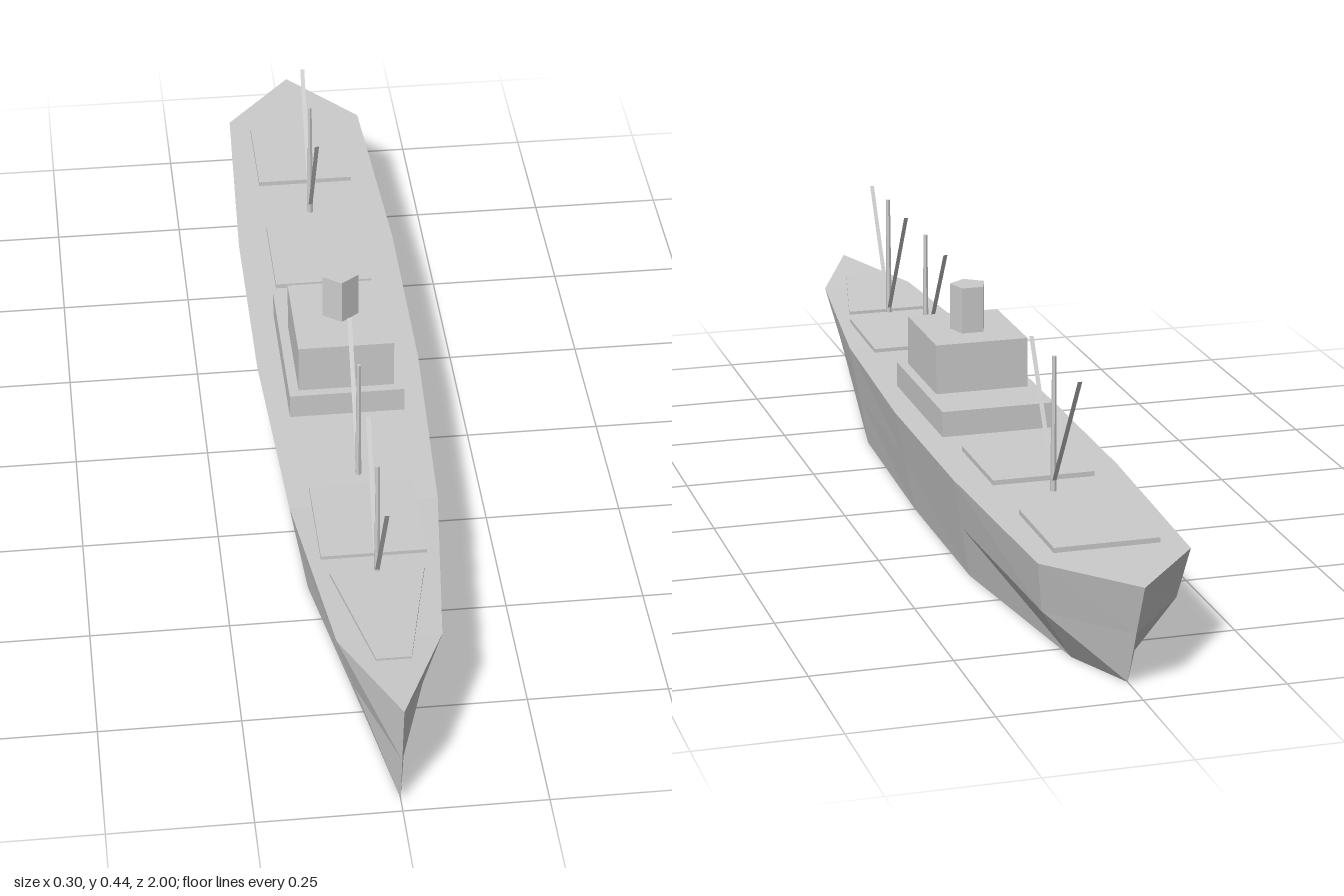
import * as THREE from 'three';

const grey = new THREE.MeshStandardMaterial({ color: 0xcccccc, flatShading: true });
const thin = new THREE.MeshStandardMaterial({ color: 0xcccccc, flatShading: true, side: THREE.DoubleSide });

function add(parent, name, geometry, material = grey) {
  const mesh = new THREE.Mesh(geometry, material);
  mesh.name = name;
  parent.add(mesh);
  return mesh;
}

// Hull stations from bow to stern; each lists [x, y, z] for deck, knuckle and keel edge
const stations = [
  [[0, 0.225, 1], [0, 0.1, 0.983], [0, 0, 0.97]],
  [[0.09, 0.212, 0.8], [0.059, 0.1, 0.795], [0.031, 0, 0.79]],
  [[0.133, 0.197, 0.42], [0.117, 0.1, 0.41], [0.1, 0, 0.41]],
  [[0.152, 0.195, 0], [0.133, 0.1, 0], [0.114, 0, 0]],
  [[0.152, 0.195, -0.4], [0.133, 0.1, -0.385], [0.113, 0, -0.37]],
  [[0.133, 0.195, -0.845], [0.118, 0.1, -0.82], [0.056, 0, -0.79]],
  [[0, 0.195, -1], [0, 0.1, -0.96], [0, 0, -0.92]],
];

// Loft closed rings (left side mirrored to the right) between the stations
function hullGeometry() {
  const rings = stations.map(s => [...s, ...s.map(([x, y, z]) => [-x, y, z]).reverse()]);
  const positions = [];
  for (let i = 0; i < rings.length - 1; i++) {
    const n = rings[i].length;
    for (let j = 0; j < n; j++) {
      const k = (j + 1) % n;
      const a = rings[i][j], b = rings[i][k], c = rings[i + 1][k], d = rings[i + 1][j];
      positions.push(...a, ...b, ...c, ...a, ...c, ...d);
    }
  }
  const g = new THREE.BufferGeometry();
  g.setAttribute('position', new THREE.Float32BufferAttribute(positions, 3));
  g.computeVertexNormals();
  return g;
}

// Hatch cover: a slab whose two ends have their own half width and top height
function hatchGeometry(front, back) {
  const g = new THREE.BoxGeometry(2, 1, 1);
  const p = g.attributes.position;
  for (let i = 0; i < p.count; i++) {
    const [z, w, top] = p.getZ(i) > 0 ? front : back;
    p.setXYZ(i, p.getX(i) * w, p.getY(i) > 0 ? top : top - 0.03, z);
  }
  g.computeVertexNormals();
  return g;
}

// Flat strip, its width along x, sloping from the mast foot to the boom tip
function boomGeometry(y0, z0, y1, z1, w) {
  const g = new THREE.PlaneGeometry(2 * w, 1);
  const p = g.attributes.position;
  for (let i = 0; i < p.count; i++) {
    const up = p.getY(i) > 0;
    p.setXYZ(i, p.getX(i), up ? y1 : y0, up ? z1 : z0);
  }
  g.computeVertexNormals();
  return g;
}

function block(parent, name, halfWidth, y0, y1, z0, z1) {
  const m = add(parent, name, new THREE.BoxGeometry(2 * halfWidth, y1 - y0, z1 - z0));
  m.position.set(0, (y0 + y1) / 2, (z0 + z1) / 2);
}

export function createModel() {
  const ship = new THREE.Group();
  ship.name = 'cargoShip';
  add(ship, 'hull', hullGeometry());

  // Cargo hatches, bow to stern: [z, half width, top] at the front and back ends
  const hatches = [
    [[0.86, 0.03, 0.22], [0.62, 0.083, 0.211]],
    [[0.575, 0.093, 0.21], [0.375, 0.093, 0.204]],
    [[-0.25, 0.093, 0.204], [-0.45, 0.093, 0.204]],
    [[-0.605, 0.093, 0.204], [-0.805, 0.093, 0.204]],
  ];
  for (const [front, back] of hatches) add(ship, 'hatchCover', hatchGeometry(front, back));

  // Superstructure and five-sided funnel
  block(ship, 'lowerDeckhouse', 0.106, 0.19, 0.243, -0.167, 0.157);
  block(ship, 'upperDeckhouse', 0.088, 0.243, 0.337, -0.06, 0.14);
  const funnel = add(ship, 'funnel', new THREE.CylinderGeometry(0.035, 0.035, 0.09, 5));
  funnel.position.set(0, 0.379, 0.03);

  // Masts with the z positions of their boom tips
  const masts = [
    [0.62, [0.75, 0.48]],
    [0.335, [0.19]],
    [-0.505, [-0.37, -0.65]],
  ];
  for (const [z, tips] of masts) {
    const rig = new THREE.Group();
    rig.name = 'mastAndBooms';
    const mast = add(rig, 'mast', new THREE.CylinderGeometry(0.004, 0.006, 0.245, 6));
    mast.position.set(0, 0.3175, z);
    for (const tip of tips) {
      add(rig, 'boom', boomGeometry(0.215, z + Math.sign(tip - z) * 0.005, 0.437, tip, 0.004), thin);
    }
    ship.add(rig);
  }
  return ship;
}
